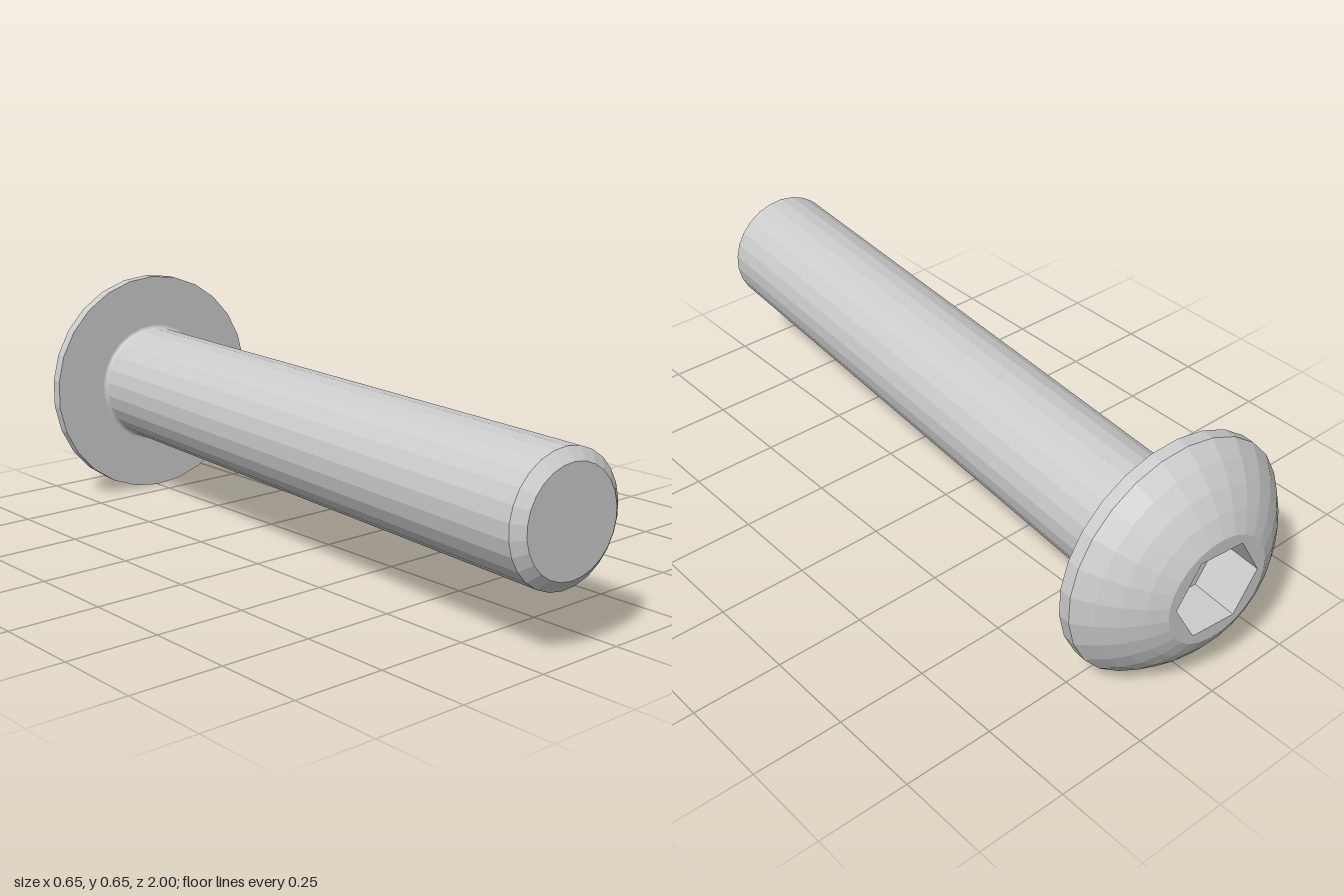
import * as THREE from 'three';

const SIDES = 26;
const HEAD_R = 0.326, HEAD_H = 0.178, RIM_H = 0.035, TOP_R = 0.15;
const SHAFT_R = 0.167, TIP_R = 0.137, LENGTH = 1.804, CHAMFER = 0.025;
const FILLET = 0.01, HEX_R = 0.127, HEX_DEPTH = 0.13;

const flat = new THREE.MeshStandardMaterial({ color: 0xcccccc, flatShading: true });
const smooth = new THREE.MeshStandardMaterial({ color: 0xcccccc });

// Revolve [radius, distance along z] pairs around the z axis
function turned(name, profile, sides = SIDES, start = 0, material = flat) {
  const points = profile.map(([r, z]) => new THREE.Vector2(r, z));
  const geometry = new THREE.LatheGeometry(points, sides, start).rotateX(Math.PI / 2);
  const mesh = new THREE.Mesh(geometry, material);
  mesh.name = name;
  return mesh;
}

// Corners of a regular polygon
function polygon(radius, sides, start) {
  return Array.from({ length: sides }, (_, i) => {
    const a = start + (i / sides) * Math.PI * 2;
    return new THREE.Vector2(radius * Math.cos(a), radius * Math.sin(a));
  });
}

// Circular arc from the flat top of the head down to the rim
function domeProfile(steps) {
  const z0 = -HEAD_H, z1 = -RIM_H;
  const c = (HEAD_R ** 2 + z1 ** 2 - TOP_R ** 2 - z0 ** 2) / (2 * (z1 - z0));
  const radius = Math.hypot(TOP_R, z0 - c);
  const a0 = Math.atan2(TOP_R, c - z0), a1 = Math.atan2(HEAD_R, c - z1);
  return Array.from({ length: steps + 1 }, (_, i) => {
    const a = a0 + ((a1 - a0) * i) / steps;
    return [radius * Math.sin(a), c - radius * Math.cos(a)];
  });
}

export function createModel() {
  const model = new THREE.Group();
  model.name = 'bolt';

  // Domed head with a thin straight rim and flat underside
  model.add(turned('head', [...domeProfile(4), [HEAD_R, 0], [SHAFT_R + FILLET, 0]]));

  // Flat top of the head, pierced by the hexagon
  const face = new THREE.Shape(polygon(TOP_R, SIDES, -Math.PI / 2));
  face.holes.push(new THREE.Path(polygon(HEX_R, 6, 0)));
  const top = new THREE.Mesh(new THREE.ShapeGeometry(face).rotateY(Math.PI), flat);
  top.position.z = -HEAD_H;
  top.name = 'headTop';
  model.add(top);

  // Hexagonal socket: floor and inward-facing walls
  const floor = HEX_DEPTH - HEAD_H;
  model.add(turned('socket', [[0, floor], [HEX_R, floor], [HEX_R, -HEAD_H]], 6, Math.PI / 2));

  // Small smooth fillet where the shaft meets the head
  const fillet = Array.from({ length: 5 }, (_, i) => {
    const a = (i / 4) * Math.PI / 2;
    return [SHAFT_R + FILLET * (1 - Math.sin(a)), FILLET * (1 - Math.cos(a))];
  });
  model.add(turned('fillet', fillet, SIDES, 0, smooth));

  // Plain shaft with a chamfered tip
  model.add(turned('shaft', [
    [SHAFT_R, FILLET], [SHAFT_R, LENGTH - CHAMFER], [TIP_R, LENGTH], [0, LENGTH],
  ]));

  // Lying level, turned slightly sideways
  model.rotation.y = -0.085;
  model.position.set(-0.0015, HEAD_R, -0.81);

  const root = new THREE.Group();
  root.add(model);
  return root;
}
